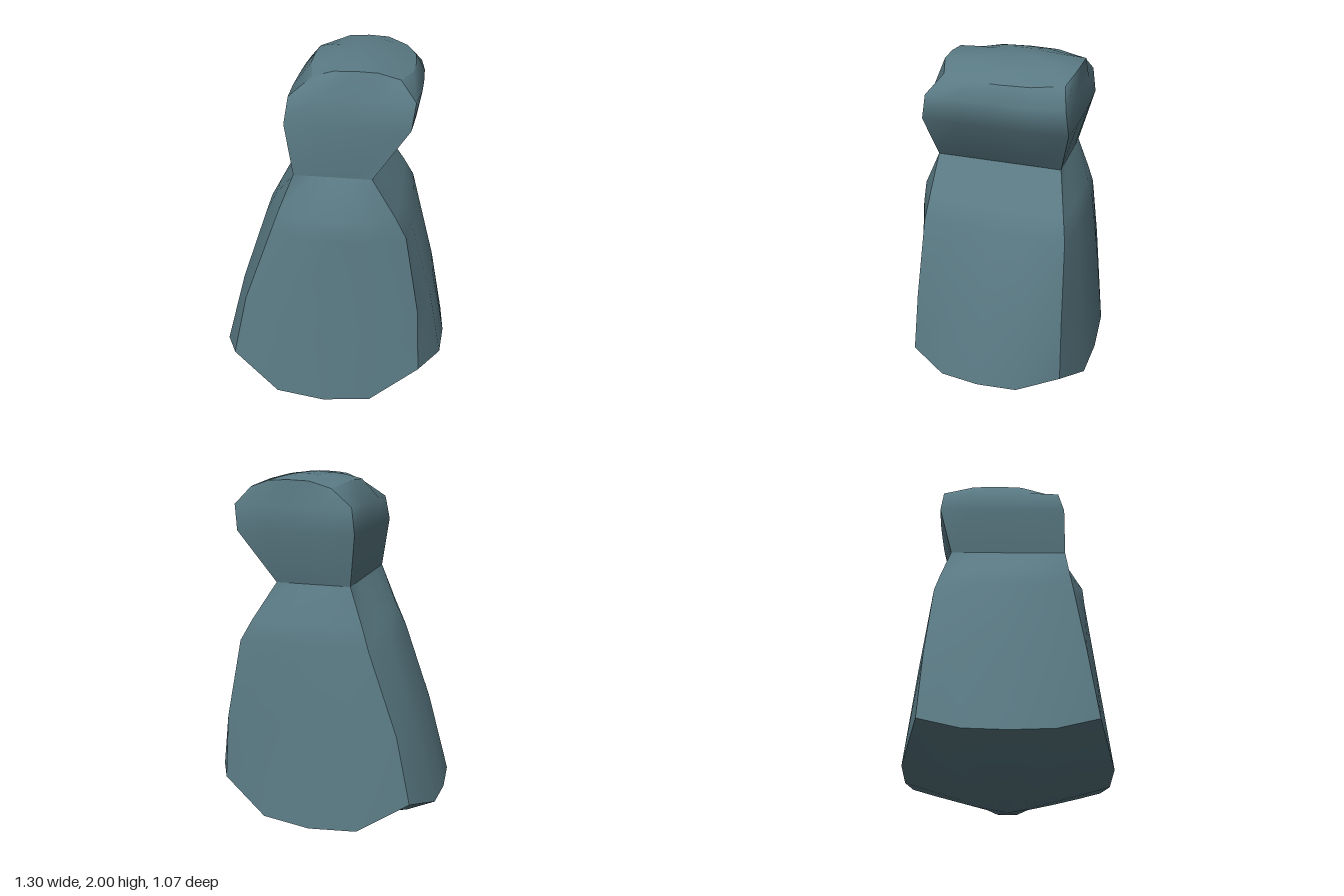
import * as THREE from 'three';
import { mergeVertices } from 'three/addons/utils/BufferGeometryUtils.js';

const SEG = 4; // segments along each side of a section

// Section: y, corner limits [left, right, front, back], outward bulge of each
// side's middle [left, right, front, back], sag of the middle [left, right, front, back]
const sec = (y, [l, r, f, b], bulge = [0, 0, 0, 0], sag = [0, 0, 0, 0]) => ({ y, l, r, f, b, bulge, sag });

const neck = sec(1.45, [-0.18, 0.22, 0.33, -0.33]);

const bodySections = [
  sec(0.33, [-0.54, 0.515, 0.425, -0.435], [0.115, 0.135, 0.105, 0.1], [0.09, 0.04, 0.2, 0.18]),
  sec(0.7, [-0.46, 0.49, 0.39, -0.425], [0.07, 0.07, 0.085, 0.055]),
  sec(1.14, [-0.3, 0.405, 0.355, -0.405], [0.08, 0.015, 0.09, 0.035]),
  sec(1.25, [-0.26, 0.345, 0.345, -0.38], [0.06, 0.01, 0.095, 0.03]),
  neck,
];

const headSections = [
  neck,
  sec(1.72, [-0.22, 0.4, 0.33, -0.4], [0.005, 0.015, 0.015, 0.01]),
  sec(1.85, [-0.2, 0.415, 0.3, -0.385], [0.01, 0.025, 0.015, 0.01]),
  sec(1.935, [-0.09, 0.335, 0.23, -0.36], [0.035, 0.06, 0.04, 0.03], [-0.025, 0.005, -0.045, -0.04]),
];

// Points along one side of a section; sides run front, right, back, left
function sidePoints(s, side) {
  const pts = [];
  for (let i = 0; i <= SEG; i++) {
    const t = (i / SEG) * 2 - 1;
    const k = 1 - Math.abs(t) ** 3;
    const mix = THREE.MathUtils.lerp, u = i / SEG;
    const [x, z, n] = [
      () => [mix(s.l, s.r, u), s.f + s.bulge[2] * k, 2],
      () => [s.r + s.bulge[1] * k, mix(s.f, s.b, u), 1],
      () => [mix(s.r, s.l, u), s.b - s.bulge[3] * k, 3],
      () => [s.l - s.bulge[0] * k, mix(s.b, s.f, u), 0],
    ][side]();
    const p = new THREE.Vector3(x, s.y - s.sag[n] * k, z);
    p.k = side % 2 ? k : -k; // positive on left and right, negative on front and back
    pts.push(p);
  }
  return pts;
}

// Smooth patch through rows of points listed from bottom to top
function patch(rows) {
  const w = rows[0].length, pos = [], idx = [];
  rows.forEach((row) => row.forEach((p) => pos.push(p.x, p.y, p.z)));
  for (let j = 0; j < rows.length - 1; j++) {
    for (let i = 0; i < w - 1; i++) {
      const a = j * w + i, b = a + 1, c = a + w, d = c + 1;
      idx.push(a, b, d, a, d, c);
    }
  }
  let g = new THREE.BufferGeometry();
  g.setAttribute('position', new THREE.Float32BufferAttribute(pos, 3));
  g.setIndex(idx);
  g = mergeVertices(g, 1e-5);
  g.computeVertexNormals();
  return g;
}

// Domed cap closing a section towards a centre point
function cap(section, centre, scales, power) {
  const ring = [0, 1, 2, 3].flatMap((side) => sidePoints(section, side));
  return patch(scales.map((s) => ring.map((p) => new THREE.Vector3(
    centre.x + (p.x - centre.x) * s,
    centre.y + (p.y - centre.y) * s ** power(p.k),
    centre.z + (p.z - centre.z) * s,
  ))));
}

export function createModel() {
  const model = new THREE.Group();
  const material = new THREE.MeshStandardMaterial({ color: 0x5a7a84 });
  const sideNames = ['Front', 'Left', 'Back', 'Right'];

  const build = (name, sections) => {
    const group = new THREE.Group();
    group.name = name;
    // Four smooth sides meeting at sharp corner edges
    sideNames.forEach((label, side) => {
      const mesh = new THREE.Mesh(patch(sections.map((s) => sidePoints(s, side))), material);
      mesh.name = name + label;
      group.add(mesh);
    });
    model.add(group);
    return group;
  };

  // Flared body with a rounded underside
  const body = build('body', bodySections);
  const base = new THREE.Mesh(
    cap(bodySections[0], new THREE.Vector3(0, 0, 0), [0, 0.25, 0.48, 0.75, 1], (k) => 1.55 + 0.45 * k),
    material,
  );
  base.name = 'bodyUnderside';
  body.add(base);

  // Head leaning to one side with a shallow domed crown
  const head = build('head', headSections);
  const crown = new THREE.Mesh(
    cap(headSections[3], new THREE.Vector3(0.11, 2, -0.06), [1, 0.7, 0.4, 0], () => 2),
    material,
  );
  crown.name = 'headCrown';
  head.add(crown);

  return model;
}
